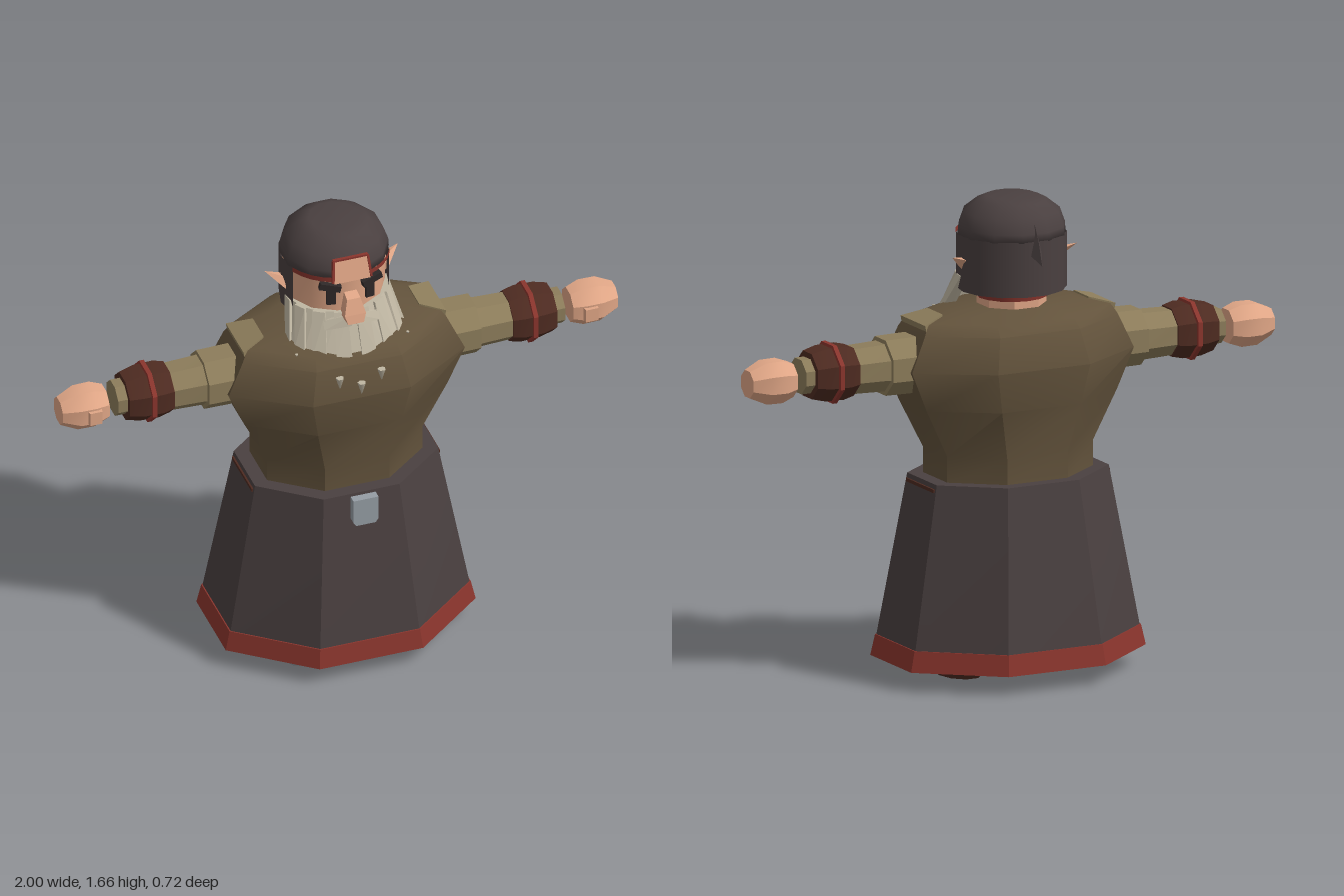
import * as THREE from 'three';
import { toCreasedNormals } from 'three/addons/utils/BufferGeometryUtils.js';
import { ConvexGeometry } from 'three/addons/geometries/ConvexGeometry.js';

const mat = (name, color, side = THREE.FrontSide) => {
  const m = new THREE.MeshStandardMaterial({ color, side });
  m.name = name;
  return m;
};

// Closed eight-sided loft; each ring is [y, half width, half depth]
function loft(rings, n = 8, crease = 0.6) {
  const pos = [], idx = [], k = 1 / Math.cos(Math.PI / n);
  for (const [y, hx, hz] of rings) {
    for (let j = 0; j < n; j++) {
      const a = ((j + 0.5) / n) * Math.PI * 2;
      pos.push(hx * k * Math.sin(a), y, hz * k * Math.cos(a));
    }
  }
  const last = rings.length - 1, bottom = rings.length * n, top = bottom + 1;
  pos.push(0, rings[0][0], 0, 0, rings[last][0], 0);
  for (let j = 0; j < n; j++) {
    const q = (j + 1) % n;
    for (let i = 0; i < last; i++) {
      const a = i * n + j, b = i * n + q;
      idx.push(a, b, b + n, a, b + n, a + n);
    }
    idx.push(bottom, q, j, top, last * n + j, last * n + q);
  }
  const g = new THREE.BufferGeometry();
  g.setAttribute('position', new THREE.Float32BufferAttribute(pos, 3));
  g.setIndex(idx);
  return toCreasedNormals(g, crease);
}

const hull = (pts) => new ConvexGeometry(pts.map((p) => new THREE.Vector3(...p)));
const lathe = (pts, n = 8, start = Math.PI / n, len = Math.PI * 2) =>
  new THREE.LatheGeometry(pts.map(([r, y]) => new THREE.Vector2(r, y)), n, start, len);

export function createModel() {
  const model = new THREE.Group();
  model.name = 'robedFigure';
  const cloth = mat('dark cloth', 0x4a4040, THREE.DoubleSide);
  const tunic = mat('brown tunic', 0x63533c);
  const olive = mat('olive sleeve', 0x8d7d5b);
  const skin = mat('skin', 0xe0a686);
  const red = mat('red trim', 0x8a352d, THREE.DoubleSide);
  const leather = mat('brown leather', 0x4e2b21);
  const metal = mat('grey metal', 0x959da4);
  const hair = mat('pale beard', 0xbfb6a2);
  const dark = mat('dark eyes', 0x2e2828);

  const add = (name, geometry, material, x = 0, y = 0, z = 0) => {
    const m = new THREE.Mesh(geometry, material);
    m.name = name;
    m.position.set(x, y, z);
    model.add(m);
    return m;
  };

  // Robe and body
  add('skirt', loft([[0.075, 0.44, 0.35], [0.14, 0.43, 0.343], [0.7, 0.33, 0.26]]), cloth);
  add('hem', lathe([[0.99, 0.068], [1, 0.068], [0.965, 0.14], [0.95, 0.14]]), red)
    .geometry.scale(0.45 / Math.cos(Math.PI / 8), 1, 0.36 / Math.cos(Math.PI / 8));
  model.getObjectByName('hem').geometry = toCreasedNormals(model.getObjectByName('hem').geometry, 0.5);
  add('torso', loft([[0.69, 0.28, 0.215], [0.79, 0.28, 0.215], [0.96, 0.365, 0.245], [1.1, 0.425, 0.265],
    [1.22, 0.37, 0.235], [1.255, 0.35, 0.2], [1.287, 0.23, 0.145]]), tunic);
  add('buckle', hull([0.275, 0.305].flatMap((z) => [-1, 1].flatMap((s) =>
    [[s * 0.035, 0.595, z], [s * 0.045, 0.61, z], [s * 0.045, 0.7, z]]))), metal);

  // Neck and head
  const hz = -0.025;
  add('neck', loft([[1.26, 0.11, 0.11], [1.35, 0.11, 0.11]]), skin, 0, 0, hz);
  add('collar', lathe([[0.125, 1.315], [0.13, 1.35]], 8, Math.PI / 2, Math.PI), red, 0, 0, hz);
  add('head', loft([[1.345, 0.168, 0.168], [1.55, 0.17, 0.17]], 12), skin, 0, 0, hz);

  // Hood, open around the face
  const open = 1.16;
  add('hoodSides', lathe([[0.188, 1.343], [0.188, 1.535]], 9, open, Math.PI * 2 - 2 * open), cloth, 0, 0, hz);
  add('hoodCap', lathe([[0.168, 1.532], [0.188, 1.532], [0.186, 1.56], [0.168, 1.61], [0.12, 1.648],
    [0.085, 1.662], [0, 1.663]], 12, Math.PI / 12), cloth, 0, 0, hz);
  add('hoodFin', hull([[-0.03, 1.5, -0.19], [0.03, 1.5, -0.19], [0, 1.6, -0.19], [0, 1.455, -0.25], [0, 1.54, -0.222]]), cloth);
  add('forehead', hull([-1, 1].flatMap((s) => [0, 0.01].flatMap((d) =>
    [[s * 0.065, 1.52, 0.156 + d], [s * 0.058, 1.6, 0.14 + d]]))), skin);
  add('foreheadTrim', new THREE.BoxGeometry(0.125, 0.008, 0.012), red, 0, 1.603, 0.144);

  for (const s of [-1, 1]) {
    const side = s > 0 ? 'left' : 'right';
    // Face details
    add(side + 'BrowTrim', lathe([[0.191, 1.523], [0.191, 1.541]], 4, s > 0 ? 0.34 : -open, open - 0.34), red, 0, 0, hz);
    add(side + 'ForeheadTrim', new THREE.BoxGeometry(0.008, 0.082, 0.012), red, s * 0.065, 1.565, 0.155)
      .rotation.set(-0.2, 0, s * 0.09);
    add(side + 'Eye', new THREE.BoxGeometry(0.032, 0.07, 0.009), dark, s * 0.07, 1.462, 0.146).rotation.y = s * 0.15;
    add(side + 'Eyebrow', new THREE.BoxGeometry(0.075, 0.024, 0.02), dark, s * 0.075, 1.502, 0.15)
      .rotation.set(0, s * 0.2, s * 0.25);
    add(side + 'Ear', hull([[s * 0.165, 1.4, 0], [s * 0.165, 1.455, -0.005], [s * 0.19, 1.43, 0.005],
      [s * 0.165, 1.45, -0.045], [s * 0.24, 1.472, -0.05]]), skin);
    add(side + 'Moustache', hull([[0, 1.39, 0.15], [0, 1.39, 0.18], [s * 0.01, 1.35, 0.19],
      [s * 0.1, 1.365, 0.15], [s * 0.1, 1.335, 0.165], [0, 1.35, 0.14]]), hair);

    // Shoulder patch
    add(side + 'ShoulderPatch', hull([-1, 1].flatMap((t) => [[s * 0.365, 1.256, t * 0.09], [s * 0.28, 1.28, t * 0.055],
      [s * 0.36, 1.23, t * 0.09], [s * 0.28, 1.25, t * 0.055]])), olive);

    // Arm parts turned around the x axis
    const turned = (name, pts, m, y = 1.112) => {
      add(side + name, toCreasedNormals(lathe(pts), 0.6), m, 0, y, 0).rotation.z = -s * Math.PI / 2;
    };
    turned('Sleeve', [[0, 0.3], [0.1, 0.3], [0.103, 0.42], [0.088, 0.5], [0.084, 0.62], [0.064, 0.74], [0.064, 0.805], [0, 0.805]], olive);
    turned('UpperSleeve', [[0, 0.36], [0.106, 0.36], [0.104, 0.49], [0, 0.5]], olive);
    turned('Cuff', [[0, 0.61], [0.09, 0.61], [0.1, 0.65], [0.098, 0.72], [0.085, 0.77], [0, 0.77]], leather);
    turned('CuffBand', [[0.09, 0.675], [0.109, 0.678], [0.109, 0.694], [0.09, 0.697]], red);
    turned('Hand', [[0, 0.835], [0.062, 0.835], [0.079, 0.88], [0.078, 0.94], [0.05, 1], [0, 1]], skin, 1.105);
    add(side + 'Thumb', hull([[0.045, 0.03], [0.085, 0.022]].flatMap(([z, h]) => [-h, h].flatMap((dx) =>
      [-0.025, 0.025].map((dy) => [dx, dy, z])))), skin, s * 0.893, 1.103, 0);

    // Boots
    add(side + 'Boot', loft([[0, 0.07, 0.1], [0.02, 0.085, 0.12], [0.06, 0.088, 0.125], [0.1, 0.07, 0.1]], 10), leather, s * 0.175, 0, 0.03);
    add(side + 'ToeCap', loft([[0, 0.065, 0.035], [0.02, 0.085, 0.05], [0.06, 0.09, 0.052], [0.1, 0.07, 0.04]], 10), metal, s * 0.175, 0, 0.2);
    add(side + 'Belt', new THREE.BoxGeometry(0.012, 0.012, 0.2), leather, s * 0.333, 0.678, 0);
  }

  add('nose', hull([[-0.022, 1.465, 0.14], [0.022, 1.465, 0.14], [-0.024, 1.455, 0.18], [0.024, 1.455, 0.18],
    [-0.038, 1.4, 0.198], [0.038, 1.4, 0.198], [-0.028, 1.368, 0.205], [0.028, 1.368, 0.205],
    [-0.036, 1.375, 0.14], [0.036, 1.375, 0.14]]), skin);

  // Beard: a fan of slanting strands wrapped round the jaw
  const strands = 15;
  for (let i = 0; i < strands; i++) {
    const t = (i / (strands - 1)) * 2 - 1, w = 0.13;
    const drop = 1.24 + 0.03 * t * t + (i % 2) * 0.012;
    const pts = [];
    for (const d of [-w, w]) {
      for (const k of [0.8, i % 2 ? 0.97 : 1.02]) {
        const a = t * 1.5 + d, x = Math.sin(a) * k, z = Math.cos(a) * k;
        pts.push([0.18 * x, 1.392, 0.005 + 0.155 * z], [0.208 * x, drop, 0.085 + 0.13 * z]);
      }
    }
    add('beardStrand', hull(pts), hair);
  }
  // Loose beard tips on the chest
  for (const [x, y, z] of [[-0.075, 1.165, 0.252], [0.075, 1.168, 0.252], [0, 1.135, 0.262],
    [-0.2, 1.25, 0.165], [0.2, 1.25, 0.165]]) {
    const size = Math.abs(x) > 0.1 ? 0.4 : 1;
    add('beardTip', new THREE.ConeGeometry(0.015 * size, 0.05 * size, 5), hair, x, y, z).rotation.x = Math.PI;
  }
  return model;
}
